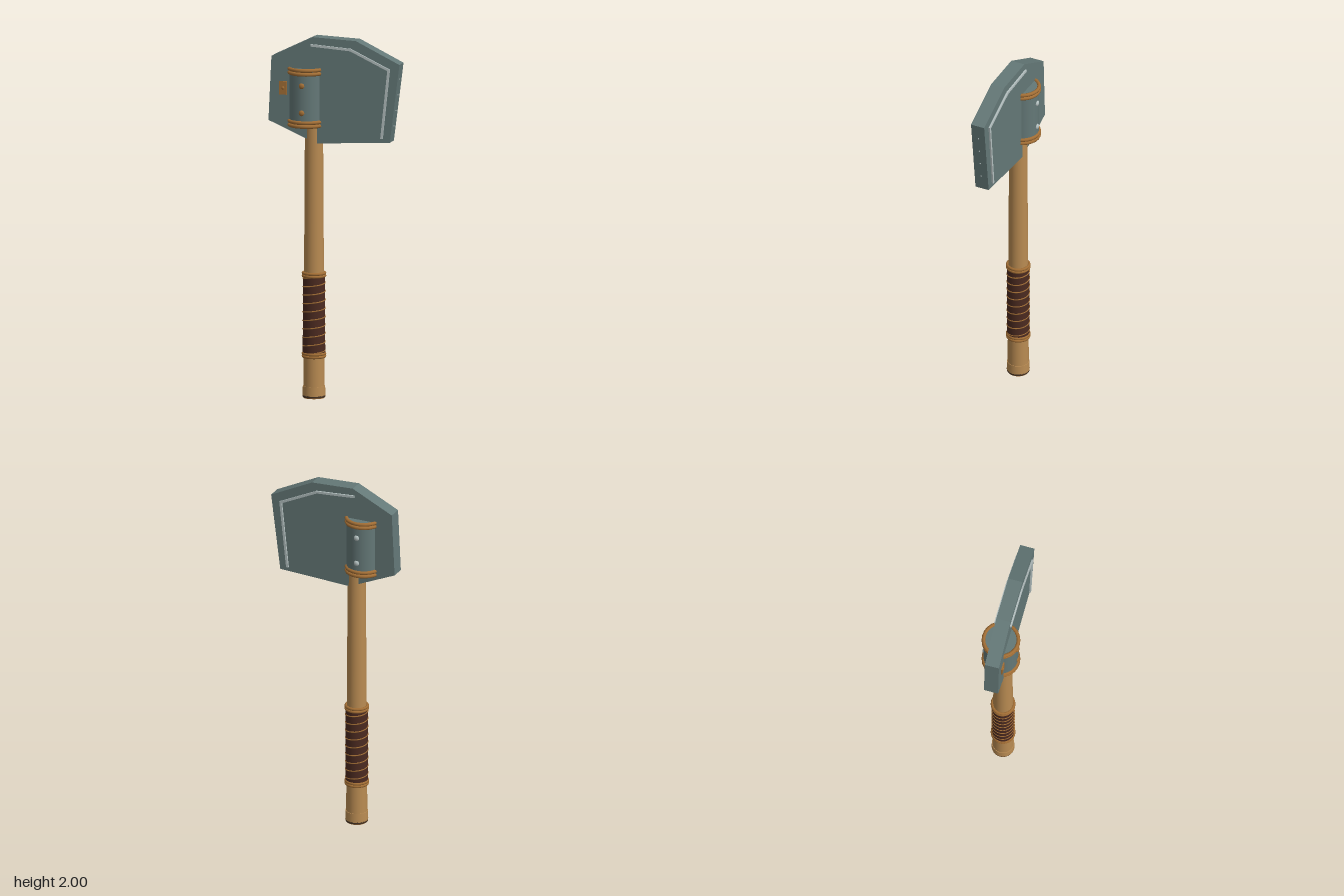
import * as THREE from 'three';

const mat = (name, color, side = THREE.FrontSide) => {
  const m = new THREE.MeshStandardMaterial({ color, side });
  m.name = name;
  return m;
};

export function createModel() {
  const steel = mat('steel', 0x647877);
  const wood = mat('wood', 0xb98b52);
  const leather = mat('leather', 0x4b2a20);
  const brass = mat('brass', 0xa26e35);
  const silver = mat('silver', 0xb4c0c0);
  const dark = mat('darkBand', 0x4a3626);

  const model = new THREE.Group();
  model.name = 'axe';
  const HX = -0.125; // handle axis
  const CX = -0.168; // collar axis

  const add = (name, geometry, material, x = 0, y = 0, z = 0, parent = model) => {
    const mesh = new THREE.Mesh(geometry, material);
    mesh.name = name;
    mesh.position.set(x, y, z);
    parent.add(mesh);
    return mesh;
  };
  const rod = (name, rTop, rBottom, y0, y1, material, x = HX, sides = 24) =>
    add(name, new THREE.CylinderGeometry(rTop, rBottom, y1 - y0, sides), material, x, (y0 + y1) / 2);
  const ring = (name, radius, tube, y, x) => {
    const g = new THREE.TorusGeometry(radius, tube, 8, 24);
    g.rotateX(Math.PI / 2);
    return add(name, g, brass, x, y);
  };

  // Blade: flat plate with an angular outline
  const outline = [
    [-0.372, 1.53], [-0.1, 1.413], [0.317, 1.437], [0.372, 1.87],
    [0.125, 1.99], [-0.12, 2.0], [-0.355, 1.885],
  ].map(([x, y]) => new THREE.Vector2(x, y));
  const bladeGeometry = new THREE.ExtrudeGeometry(new THREE.Shape(outline), { depth: 0.08, bevelEnabled: false });
  add('blade', bladeGeometry, steel, 0, 0, -0.04);

  // Raised trim following the upper and cutting edges on both faces
  const trim = [[-0.127, 1.955], [0.095, 1.94], [0.312, 1.838], [0.272, 1.462]];
  for (const side of [1, -1]) {
    for (let i = 0; i < trim.length - 1; i++) {
      const [ax, ay] = trim[i];
      const [bx, by] = trim[i + 1];
      const strip = add(side > 0 ? 'frontTrim' : 'backTrim',
        new THREE.BoxGeometry(Math.hypot(bx - ax, by - ay) + 0.008, 0.013, 0.014),
        silver, (ax + bx) / 2, (ay + by) / 2, side * 0.042);
      strip.rotation.z = Math.atan2(by - ay, bx - ax);
    }
  }

  // Small studs along the cutting edge
  for (let i = 0; i < 4; i++) {
    const t = 0.2 + i * 0.2;
    add('edgeStud', new THREE.SphereGeometry(0.004, 8, 6), silver,
      0.317 + 0.055 * t, 1.437 + 0.433 * t, 0);
  }

  // Small riveted plate on the front
  add('sidePlate', new THREE.BoxGeometry(0.044, 0.074, 0.008), brass, -0.288, 1.712, 0.043);
  const plateRivet = add('plateRivet', new THREE.SphereGeometry(0.009, 10, 8), brass, -0.288, 1.712, 0.046);
  plateRivet.scale.z = 0.6;

  // Collar holding the blade, with paired rings and rivets
  rod('collar', 0.095, 0.095, 1.507, 1.822, steel, CX, 20);
  for (const y of [1.51, 1.531, 1.799, 1.82]) ring('collarRing', 0.095, 0.0105, y, CX);
  for (const side of [1, -1]) {
    for (const y of [1.585, 1.735]) {
      const rivet = add('collarRivet', new THREE.SphereGeometry(0.016, 12, 8),
        side > 0 ? brass : silver, CX, y, side * 0.094);
      rivet.scale.z = 0.6;
    }
  }

  // Handle shaft and pommel
  rod('shaft', 0.049, 0.058, 0.06, 1.6, wood);
  rod('pommel', 0.061, 0.063, 0.014, 0.066, wood);
  rod('pommelBand', 0.063, 0.061, 0.004, 0.016, dark);
  rod('pommelBase', 0.058, 0.058, 0, 0.005, brass);

  // Leather grip with its end rings
  rod('grip', 0.0605, 0.0615, 0.235, 0.685, leather);
  for (const y of [0.23, 0.245, 0.675, 0.69]) ring('gripRing', 0.059, 0.0085, y, HX);

  // Cord wound around the grip
  const turns = 9;
  const points = [];
  for (let i = 0; i <= turns * 16; i++) {
    const a = (i / 16) * Math.PI * 2;
    points.push(new THREE.Vector3(Math.sin(a) * 0.061, 0.25 + (0.42 * i) / (turns * 16), Math.cos(a) * 0.061));
  }
  const path = new THREE.CatmullRomCurve3(points);
  add('gripCord', new THREE.TubeGeometry(path, turns * 24, 0.0035, 6), brass, HX);

  return model;
}
